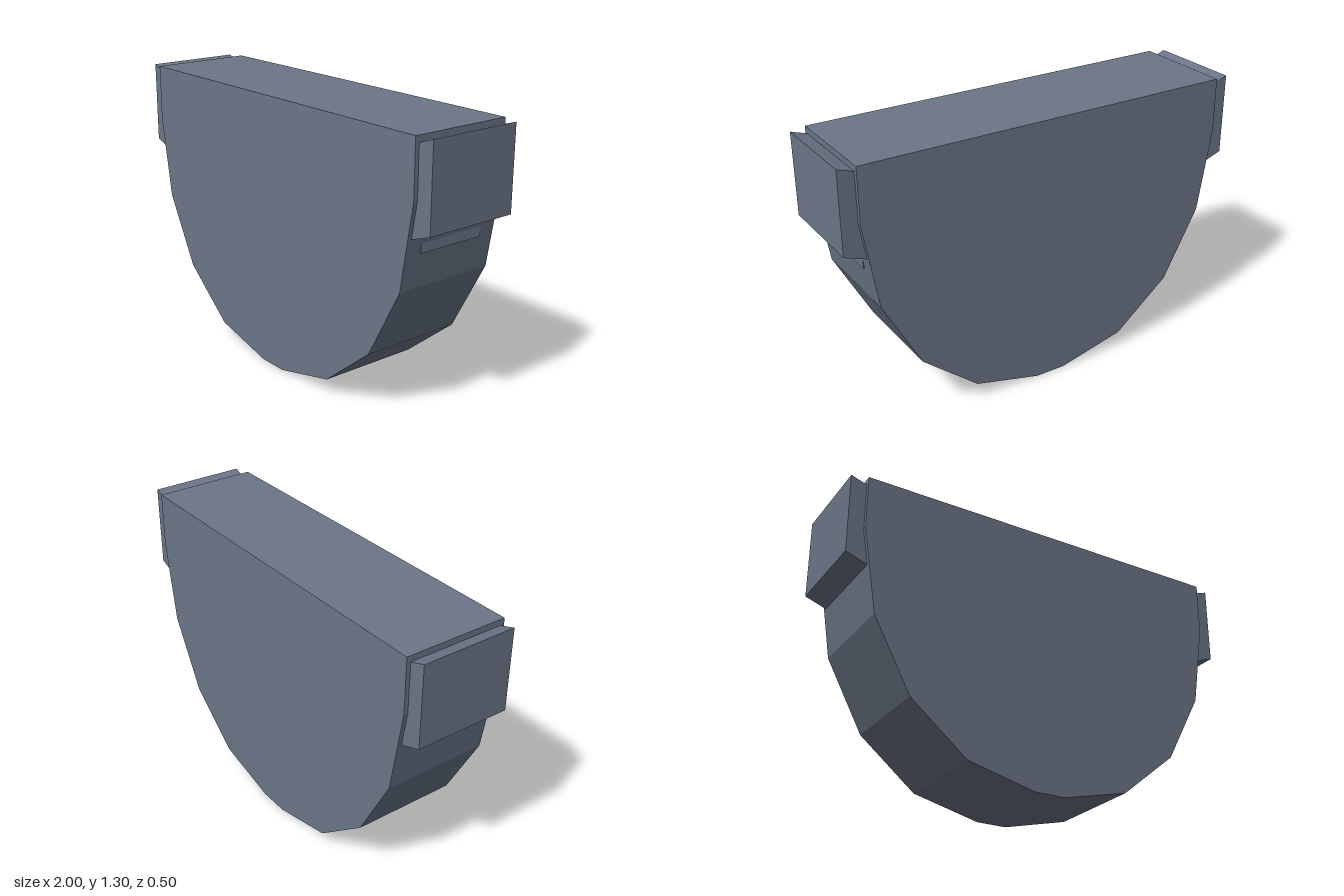
import * as THREE from 'three';

const material = new THREE.MeshStandardMaterial({ color: 0x6b7688, flatShading: true });

// Extrude an outline along z, centred on z = 0
function prism(name, points, depth) {
  const shape = new THREE.Shape(points.map(([x, y]) => new THREE.Vector2(x, y)));
  const geometry = new THREE.ExtrudeGeometry(shape, { depth, bevelEnabled: false });
  geometry.translate(0, 0, -depth / 2);
  const mesh = new THREE.Mesh(geometry, material);
  mesh.name = name;
  return mesh;
}

export function createModel() {
  const model = new THREE.Group();
  model.name = 'halfRoundEndCap';

  // Faceted half-round body
  const half = [[0.075, 0], [0.405, 0.08], [0.68, 0.305], [0.86, 0.64], [0.925, 1.04], [0.925, 1.3]];
  const mirrored = half.map(([x, y]) => [-x, y]).reverse();
  model.add(prism('body', [...half, ...mirrored], 0.5));

  // Flared side clips, sloping down into the body
  const clip = [[0.88, 0.867], [1, 0.91], [1, 1.297], [0.88, 1.257]];
  for (const side of [1, -1]) {
    const name = side > 0 ? 'leftClip' : 'rightClip';
    model.add(prism(name, clip.map(([x, y]) => [side * x, y]), 0.46));
  }

  // Shallow catch below the left clip
  const catchTab = new THREE.Mesh(new THREE.BoxGeometry(0.043, 0.09, 0.34), material);
  catchTab.name = 'catchTab';
  catchTab.position.set(0.8715, 0.845, 0);
  model.add(catchTab);

  return model;
}
